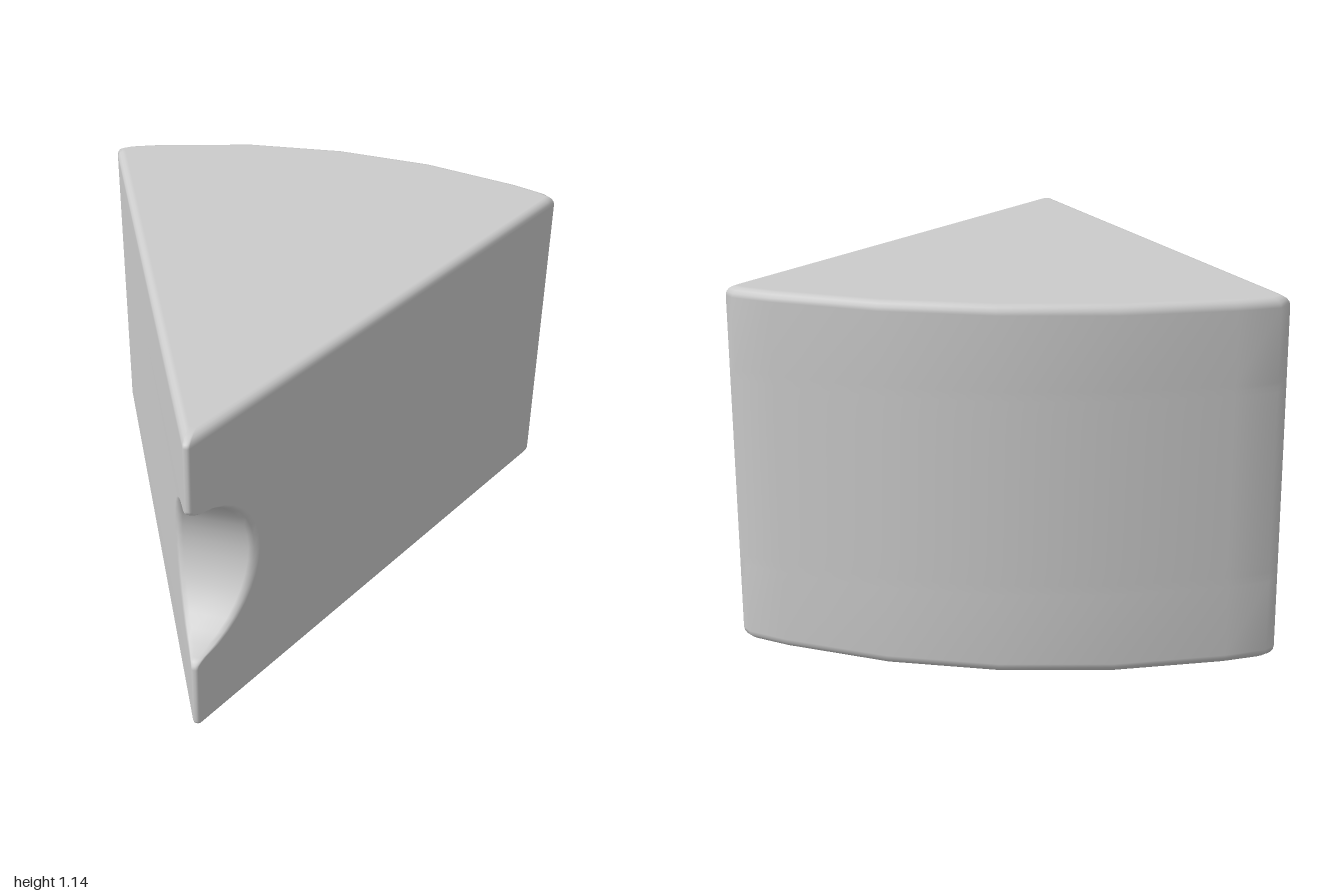
import * as THREE from 'three';

const H = 1.14, MID = H / 2;      // height and mid-height
const APEX = 1.02, SLOPE = 0.463; // where the side planes meet, and how fast they open
const BEVEL = 0.03;
const rad = THREE.MathUtils.degToRad;

// Horizontal outline: front edge at zf, straight sides, curved back, all inset by d
function outline(y, zf, d) {
  const w = z => (APEX - z) * SLOPE - d * 1.1;
  const f = Math.min(0.022, w(zf) * 0.6);
  const half = [
    [w(zf) - f, zf],
    [w(zf - 0.3 * f) - 0.3 * f, zf - 0.3 * f],
    [w(zf - f), zf - f],
    [w(-0.765), -0.765],
    [w(-0.795) - 0.003, -0.795],
  ];
  // back arc about the front tip
  const r = 2 - d;
  for (const a of [23.9, 20, 10]) {
    const s = a > 23 ? (r * Math.sin(rad(a)) - d * 0.9) / r : Math.sin(rad(a));
    half.push([r * s, 1 - r * Math.sqrt(1 - s * s)]);
  }
  const mirrored = half.map(([x, z]) => [-x, z]).reverse();
  return [[0, zf], ...half, [0, 1 - r], ...mirrored].map(([x, z]) => [x, y, z]);
}

// Rows of the upper half, from mid-height to the top: [height above middle, front z, inset]
function upperRows() {
  const rows = [];
  // round notch bored across the front edge
  for (const a of [0, 10, 20, 30, 40, 50, 60, 70, 80]) {
    rows.push([0.29 * Math.sin(rad(a)), APEX - 0.28 * Math.cos(rad(a)), 0]);
  }
  // softened lip of the notch
  rows.push([0.293, 0.985, 0], [0.302, 0.996, 0], [0.315, 1, 0]);
  // rounded rim
  for (const a of [0, 22.5, 45, 67.5, 90]) {
    const d = BEVEL * (1 - Math.cos(rad(a)));
    rows.push([MID - BEVEL + BEVEL * Math.sin(rad(a)), 1 - 2.38 * d, d]);
  }
  return rows;
}

function wedgeGeometry() {
  const up = upperRows();
  const down = up.slice(1).reverse().map(([h, z, d]) => [-h, z, d]);
  const loops = [...down, ...up].map(([h, z, d]) => outline(MID + h, z, d));
  const n = loops[0].length, last = (loops.length - 1) * n;
  const points = loops.flat();
  const index = [];

  // walls between neighbouring loops
  for (let j = 0; j < loops.length - 1; j++) {
    for (let i = 0; i < n; i++) {
      const a = j * n + i, b = j * n + (i + 1) % n;
      index.push(a, b, b + n, a, b + n, a + n);
    }
  }
  // bottom and top caps
  const bottom = points.push([0, 0, -0.2]) - 1;
  const top = points.push([0, H, -0.2]) - 1;
  for (let i = 0; i < n; i++) {
    const k = (i + 1) % n;
    index.push(bottom, k, i, top, last + i, last + k);
  }

  const geo = new THREE.BufferGeometry();
  geo.setAttribute('position', new THREE.Float32BufferAttribute(points.flat(), 3));
  geo.setIndex(index);
  geo.computeVertexNormals();
  return geo;
}

export function createModel() {
  const group = new THREE.Group();
  group.name = 'notchedWedge';
  const wedge = new THREE.Mesh(wedgeGeometry(), new THREE.MeshStandardMaterial({ color: 0xcccccc }));
  wedge.name = 'wedgeBody';
  group.add(wedge);
  return group;
}
